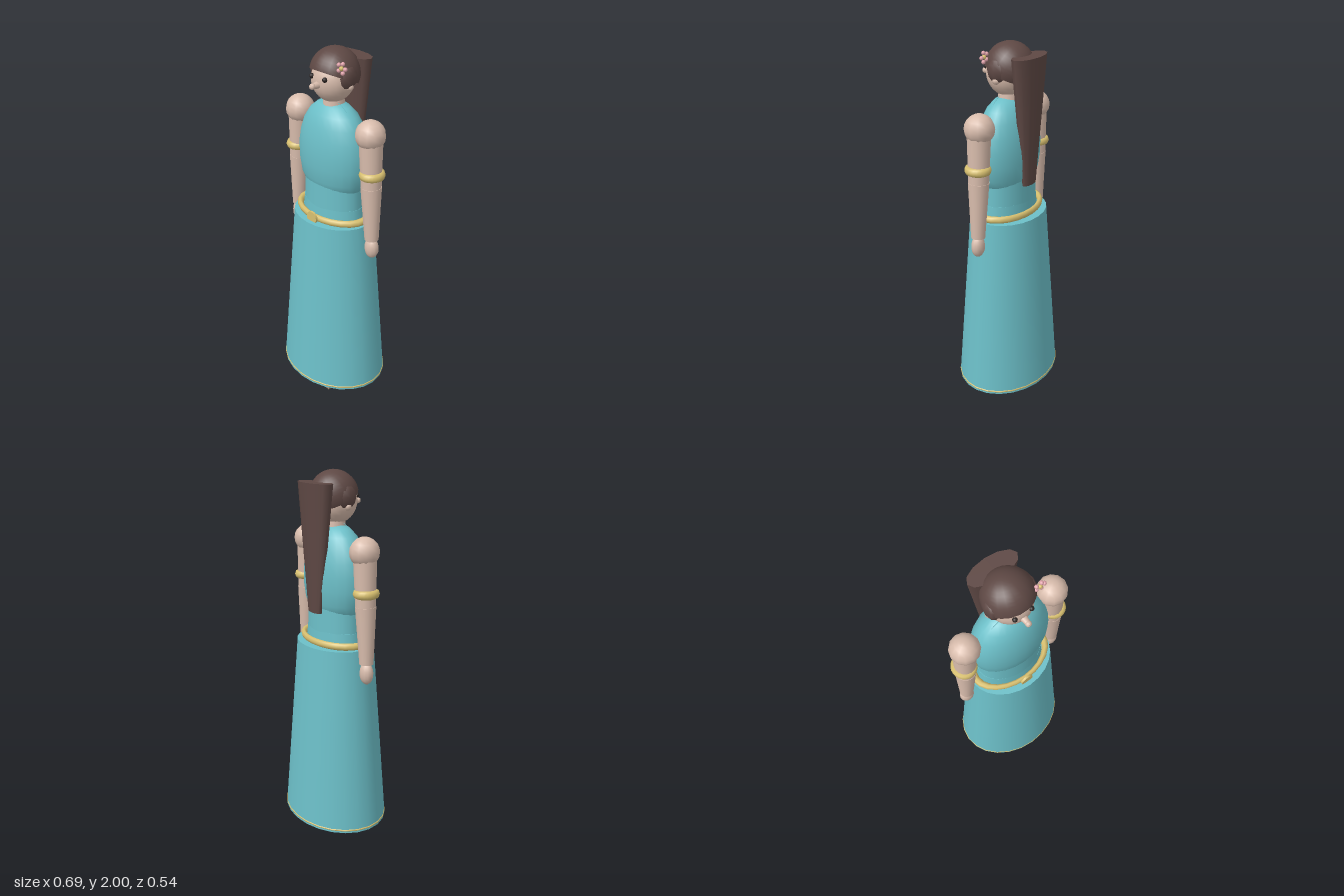
import * as THREE from 'three';

const mat = (color, side = THREE.FrontSide) => new THREE.MeshStandardMaterial({ color, side });
const teal = mat(0x6cbfc8, THREE.DoubleSide);
const skin = mat(0xd8bcac);
const gold = mat(0xd8c070);
const hair = mat(0x5e4844, THREE.DoubleSide);
const dark = mat(0x2c2422);
const pink = mat(0xe2a4ac);
const shoe = mat(0xa8846c);

export function createModel() {
  const model = new THREE.Group();

  function add(name, geometry, material, x = 0, y = 0, z = 0, scale = [1, 1, 1]) {
    const mesh = new THREE.Mesh(geometry, material);
    mesh.name = name;
    mesh.position.set(x, y, z);
    mesh.scale.set(...scale);
    model.add(mesh);
    return mesh;
  }

  // Elliptical turned part: profile of [x radius, y], flattened in z
  const lathe = (name, points, depth) => add(name,
    new THREE.LatheGeometry(points.map(p => new THREE.Vector2(...p)), 24), teal, 0, 0, 0, [1, 1, depth]);

  // Tapered round limb between two points in the x-y plane
  function limb(name, [x0, y0], [x1, y1], rTop, rBottom) {
    const length = Math.hypot(x1 - x0, y1 - y0);
    const mesh = add(name, new THREE.CylinderGeometry(rTop, rBottom, length, 16), skin, (x0 + x1) / 2, (y0 + y1) / 2);
    mesh.rotation.z = Math.atan2(x1 - x0, y0 - y1);
    return mesh;
  }

  // Horizontal elliptical ring
  function ring(name, y, rx, rz, tube, height, x = 0) {
    const geometry = new THREE.TorusGeometry(rx, tube, 8, 24);
    geometry.rotateX(Math.PI / 2);
    return add(name, geometry, gold, x, y, 0, [1, height, rz / rx]);
  }

  // Dress
  add('skirt', new THREE.CylinderGeometry(0.243, 0.338, 1.05, 24, 3), teal, 0, 0.555, 0, [1, 1, 0.8]);
  ring('hem', 0.045, 0.334, 0.267, 0.006, 1);
  add('waistband', new THREE.CylinderGeometry(0.19, 0.2, 0.09, 24), teal, 0, 1.115, 0, [1, 1, 0.67]);
  add('waist', new THREE.CylinderGeometry(0.182, 0.188, 0.2, 24), teal, 0, 1.25, 0, [1, 1, 0.68]);
  lathe('bodice', [[0, 1.2], [0.12, 1.21], [0.175, 1.245], [0.208, 1.31], [0.222, 1.39], [0.222, 1.47],
    [0.21, 1.54], [0.186, 1.61], [0.15, 1.665], [0.1, 1.705], [0.045, 1.72], [0, 1.722]], 0.635);
  ring('belt', 1.1, 0.22, 0.148, 0.02, 1);
  add('buckle', new THREE.CylinderGeometry(0.036, 0.036, 0.012, 16), gold, 0, 1.1, 0.163).rotation.x = Math.PI / 2;
  add('shoulderCord', new THREE.TorusGeometry(0.165, 0.0015, 4, 24, Math.PI), teal, 0, 1.57, 0.02);

  // Arms and feet
  for (const [side, s] of [['left', 1], ['right', -1]]) {
    add(side + 'Shoulder', new THREE.SphereGeometry(0.079, 12, 10), skin, s * 0.259, 1.61);
    limb(side + 'UpperArm', [s * 0.262, 1.62], [s * 0.275, 1.29], 0.063, 0.053);
    limb(side + 'Forearm', [s * 0.274, 1.33], [s * 0.288, 1.02], 0.056, 0.038);
    add(side + 'Hand', new THREE.SphereGeometry(1, 12, 10), skin, s * 0.29, 0.967, 0, [0.042, 0.061, 0.035]);
    ring(side + 'Armband', 1.4, 0.049, 0.052, 0.018, 1.3, s * 0.278);
    add(side + 'Foot', new THREE.BoxGeometry(0.126, 0.04, 0.29), shoe, s * 0.112, 0.02, 0.068);
  }

  // Head and face
  add('neck', new THREE.CylinderGeometry(0.052, 0.06, 0.08, 16), skin, 0, 1.72);
  add('head', new THREE.SphereGeometry(0.112, 20, 16), skin, 0, 1.84, 0.005, [1, 1.06, 1]);
  add('nose', new THREE.CylinderGeometry(0.012, 0.02, 0.055, 10), skin, 0, 1.83, 0.13).rotation.x = Math.PI / 2;
  add('noseTip', new THREE.SphereGeometry(0.016, 10, 8), skin, 0, 1.83, 0.146);
  for (const s of [1, -1]) {
    add('eye', new THREE.SphereGeometry(0.013, 10, 8), dark, s * 0.046, 1.865, 0.107);
    add('ear', new THREE.SphereGeometry(0.02, 8, 6), skin, s * 0.112, 1.82, 0);
    add('sideHair', new THREE.SphereGeometry(0.06, 8, 6), hair, s * 0.106, 1.868, 0.002, [0.5, 1, 0.95]);
  }

  // Hair cap tilted back to open the forehead, and the long tapering tail
  add('hairCap', new THREE.SphereGeometry(0.13, 18, 12, 0, Math.PI * 2, 0, Math.PI * 0.55),
    hair, 0, 1.87, -0.008).rotation.x = -0.42;
  add('hairTail', new THREE.CylinderGeometry(0.136, 0.055, 0.68, 12), hair, 0, 1.6, -0.127, [1, 1, 0.45])
    .rotation.x = 0.01;

  // Hair flower
  add('flowerCentre', new THREE.SphereGeometry(0.012, 8, 6), gold, 0.12, 1.93, 0.067);
  for (let i = 0; i < 5; i++) {
    const a = i * Math.PI * 0.4;
    add('petal', new THREE.SphereGeometry(0.011, 8, 6), pink, 0.12 + 0.024 * Math.cos(a), 1.93 + 0.024 * Math.sin(a), 0.065);
  }
  return model;
}
